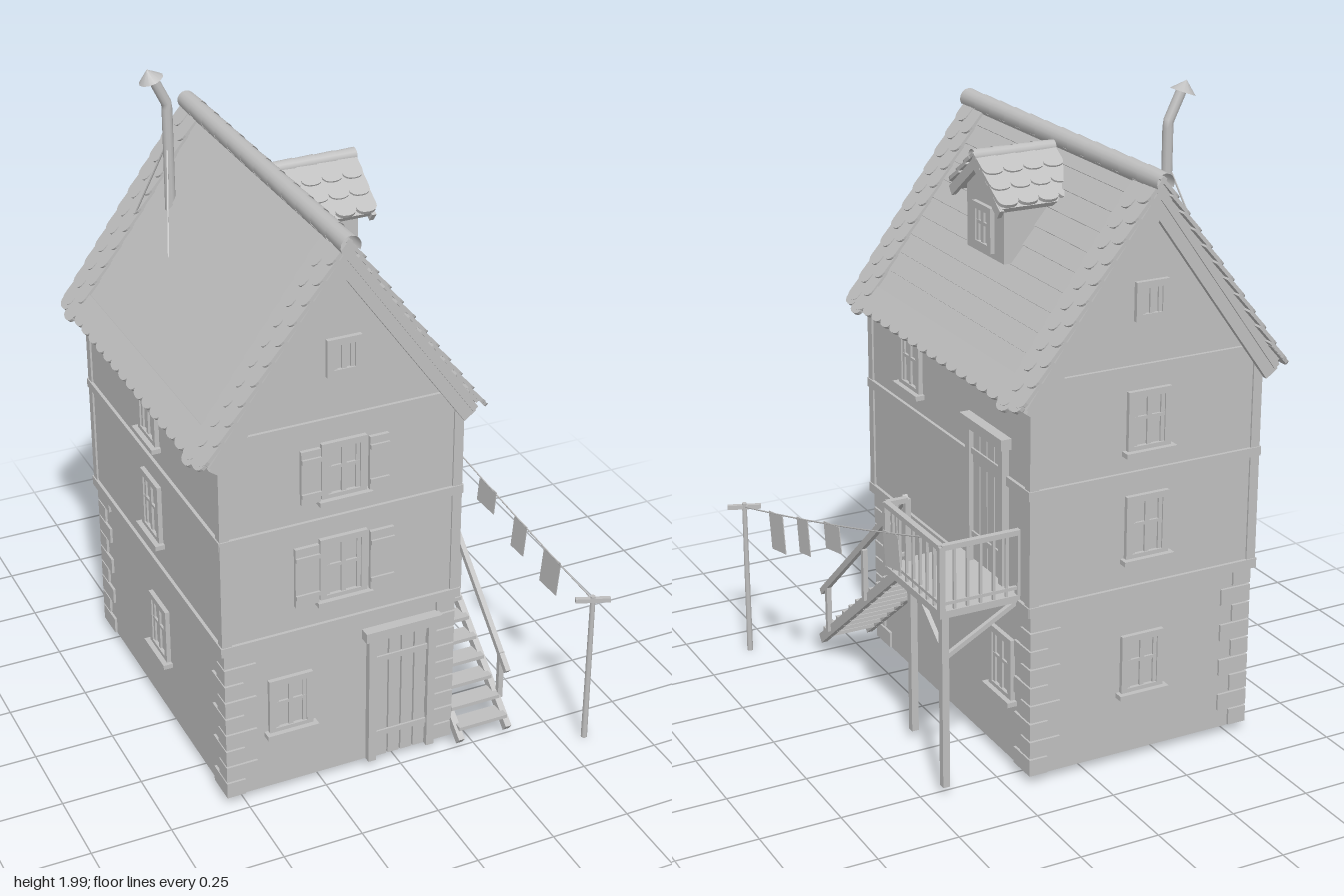
import * as THREE from 'three';

const grey = new THREE.MeshStandardMaterial({ color: 0xbfbfbf, side: THREE.DoubleSide });
grey.name = 'plainGrey';
const PI = Math.PI, CX = -0.185, CZ = -0.06, HW = 0.375, HD = 0.53;

function add(parent, name, geo, x = 0, y = 0, z = 0) {
  const m = new THREE.Mesh(geo, grey);
  m.name = name;
  m.position.set(x, y, z);
  parent.add(m);
  return m;
}
const box = (p, name, w, h, d, x, y, z) => add(p, name, new THREE.BoxGeometry(w, h, d), x, y, z);

function group(parent, name, x = 0, y = 0, z = 0, yaw = 0, roll = 0) {
  const g = new THREE.Group();
  g.name = name;
  g.position.set(x, y, z);
  g.rotation.set(0, yaw, roll);
  parent.add(g);
  return g;
}

// square bar between two points
function bar(parent, name, a, b, w, h = w) {
  const p = new THREE.Vector3(...a), q = new THREE.Vector3(...b);
  const m = new THREE.Mesh(new THREE.BoxGeometry(w, h, p.distanceTo(q)), grey);
  m.name = name;
  m.position.copy(p).lerp(q, 0.5);
  m.lookAt(q);
  parent.add(m);
}

function extrude(points, depth, hole) {
  const s = new THREE.Shape(points.map(p => new THREE.Vector2(...p)));
  if (hole) s.holes.push(new THREE.Path(hole.map(p => new THREE.Vector2(...p))));
  return new THREE.ExtrudeGeometry(s, { depth, bevelEnabled: false });
}
const rect = (w, h) => [[-w, -h], [w, -h], [w, h], [-w, h]];

// round-ended roof tile, running down +x
function tileGeometry(len, w) {
  const s = new THREE.Shape();
  s.moveTo(0, -w / 2);
  s.lineTo(len - w * 0.4, -w / 2);
  s.quadraticCurveTo(len, -w / 2, len, 0);
  s.quadraticCurveTo(len, w / 2, len - w * 0.4, w / 2);
  s.lineTo(0, w / 2);
  return new THREE.ExtrudeGeometry(s, { depth: 0.011, bevelEnabled: false, curveSegments: 4 }).rotateX(-PI / 2);
}
function tile(parent, geo, x, y, z) {
  add(parent, 'roofTile', geo, x, y, z).rotation.z = 0.1;
}

// half-round caps along local z
function ridge(parent, r, length, n) {
  const step = length / n;
  for (let i = 0; i < n; i++) {
    const geo = new THREE.CylinderGeometry(r, r * 0.9, step * 1.08, 10, 1, true, PI / 2 - 0.5, PI + 1);
    add(parent, 'ridgeCap', geo, 0, 0, -length / 2 + (i + 0.5) * step).rotation.x = PI / 2;
  }
}

// window on a wall whose outside is local +z; y is the middle
function windowUnit(wall, x, y, w, h, { shutters = 0, bars = true, sill = true, depth = 0.03, z = 0 } = {}) {
  const g = group(wall, 'window', x, y, z), t = 0.02, zc = 0.014 - depth / 2;
  for (const s of [-1, 1]) {
    box(g, 'frameSide', t, h, depth, s * (w - t) / 2, 0, zc);
    box(g, 'frameRail', w, t, depth, 0, s * (h - t) / 2, zc);
    box(g, 'sashSide', 0.012, h - 2 * t, 0.008, s * (w / 2 - t - 0.006), 0, 0.005);
    if (shutters) {
      const sx = s * (w / 2 + shutters / 2 + 0.006);
      box(g, 'shutter', shutters, h * 0.93, 0.012, sx, 0, 0.014);
      for (const v of [-1, 1]) box(g, 'shutterBatten', shutters, 0.014, 0.008, sx, v * h * 0.3, 0.023);
    }
  }
  box(g, 'pane', w - t, h - t, 0.004, 0, 0, 0.001);
  box(g, 'mullion', 0.014, h - t, 0.01, 0, 0, 0.005);
  if (bars) box(g, 'glazingBar', w - t, 0.01, 0.01, 0, 0.01, 0.005);
  if (sill) box(g, 'sill', w + 0.025, 0.015, 0.04, 0, -h / 2, 0.01);
}

function door(wall, x, y0, w, h, z = 0) {
  const g = group(wall, 'door', x, y0, z);
  for (const s of [-1, 1]) box(g, 'doorPost', 0.025, h, 0.035, s * (w / 2 - 0.012), h / 2, 0.005);
  box(g, 'lintel', w + 0.03, 0.033, 0.05, 0, h + 0.005, 0.008);
  const n = 4, pw = (w - 0.05) / n;
  for (let i = 0; i < n; i++) box(g, 'doorPlank', pw - 0.006, h - 0.01, 0.012, (i - 1.5) * pw, h / 2, 0.004);
  for (const f of [0.2, 0.8]) box(g, 'doorHinge', w - 0.05, 0.018, 0.008, 0, h * f, 0.012);
}

function buildHouse(root) {
  const house = group(root, 'house', CX, 0, CZ);
  const gw = HW - 0.01, gd = HD - 0.01;
  // hollow ground storey and solid upper storeys with gables
  const ring = extrude(rect(gw, gd), 0.525, rect(gw - 0.05, gd - 0.05)).rotateX(-PI / 2);
  add(house, 'groundWalls', ring, 0, 0.025, 0);
  const gable = extrude([[-HW, 0.55], [HW, 0.55], [HW, 1.215], [0, 1.73], [-HW, 1.215]], HD * 2);
  add(house, 'upperWalls', gable, 0, 0, -HD);
  // beams around the storeys and posts at the corners
  for (const [y, h] of [[0.558, 0.03], [0.915, 0.028]]) {
    for (const s of [-1, 1]) {
      box(house, 'floorBeam', HW * 2 + 0.016, h, 0.02, 0, y, s * HD);
      box(house, 'floorBeam', 0.02, h, HD * 2 + 0.016, s * HW, y, 0);
    }
  }
  for (const sz of [-1, 1]) {
    box(house, 'gableBeam', HW * 2, 0.028, 0.02, 0, 1.235, sz * HD);
    for (const sx of [-1, 1]) {
      box(house, 'cornerPost', 0.03, 0.67, 0.03, sx * (HW - 0.009), 0.89, sz * (HD - 0.009));
      // alternating corner stones
      for (let i = 0; i < 9; i++) {
        const a = i % 2 ? 0.1 : 0.06, b = i % 2 ? 0.06 : 0.1;
        box(house, 'cornerStone', a, 0.052, b, sx * (gw + 0.008 - a / 2), 0.054 + i * 0.058, sz * (gd + 0.008 - b / 2));
      }
    }
  }
  const front = group(house, 'frontWall', 0, 0, HD);
  const back = group(house, 'backWall', 0, 0, -HD, PI);
  const side = group(house, 'stairWall', HW, 0, 0, PI / 2);
  const far = group(house, 'farWall', -HW, 0, 0, -PI / 2);
  const low = { depth: 0.085, z: -0.01 };
  windowUnit(front, -0.165, 0.315, 0.14, 0.19, low);
  windowUnit(front, 0, 0.755, 0.15, 0.21, { shutters: 0.075 });
  windowUnit(front, 0, 1.08, 0.14, 0.185, { shutters: 0.06 });
  windowUnit(side, 0.35, 0.32, 0.14, 0.2, low);
  windowUnit(side, -0.225, 1.08, 0.14, 0.185);
  for (const w of [back, far]) {
    windowUnit(w, 0, 0.315, 0.14, 0.19, low);
    windowUnit(w, 0, 0.755, 0.14, 0.2);
    windowUnit(w, 0, 1.08, 0.14, 0.185);
  }
  for (const w of [front, back]) windowUnit(w, 0, 1.435, 0.105, 0.115, { bars: false, sill: false });
  door(front, 0.195, 0.025, 0.22, 0.455, -0.01);
  door(side, 0.285, 0.59, 0.23, 0.435);
}

function buildRoof(root) {
  const roof = group(root, 'roof', CX, 1.785, -0.068);
  const L = 0.745, half = 0.575, a = Math.atan2(0.605, 0.435);
  const small = tileGeometry(0.095, 0.066);
  for (const yaw of [0, PI]) {
    const s = group(roof, 'roofSlope', 0, 0, 0, yaw, -a);
    box(s, 'roofBoard', L - 0.02, 0.02, half * 2 - 0.02, L / 2 - 0.01, -0.022, 0);
    const n = 11, pitch = (L - 0.03) / n;
    for (let i = 0; i < n; i++) {
      box(s, 'roofCourse', pitch + 0.015, 0.011, half * 2 - 0.05, (i + 0.5) * pitch, -0.007, 0).rotation.z = 0.08;
      // scalloped tiles at both ends of every course
      for (const e of [-1, 1]) {
        for (let k = 0; k < 2; k++) tile(s, small, i * pitch - 0.01 + k * 0.03, -0.006, e * (half - 0.032 - k * 0.058));
      }
    }
    for (let k = 0; k < 18; k++) tile(s, small, L - 0.09, -0.006, (k - 8.5) * 0.0635);
    for (const e of [-1, 1]) box(s, 'bargeBoard', L - 0.02, 0.045, 0.018, L / 2, -0.045, e * (half - 0.025));
  }
  ridge(group(roof, 'mainRidge', 0, -0.005, 0), 0.031, 1.165, 12);
}

function buildDormer(root) {
  const d = group(root, 'dormer', 0, 0, -0.085);
  const body = extrude([[-0.115, 1.465], [0.115, 1.465], [0.115, 1.655], [0, 1.735], [-0.115, 1.655]], 0.22);
  add(group(d, 'dormerBody', -0.15, 0, 0, PI / 2), 'dormerWalls', body);
  const face = group(d, 'dormerFace', 0.07, 0, 0, PI / 2);
  windowUnit(face, 0, 1.55, 0.115, 0.135, { sill: false });
  const L = 0.207, a = Math.atan2(0.125, 0.165), t = tileGeometry(0.09, 0.066);
  for (const s of [-1, 1]) {
    const g = group(d, 'dormerSlope', -0.02, 1.768, 0, -s * PI / 2, -a);
    box(g, 'dormerBoard', L - 0.015, 0.018, 0.245, L / 2, -0.015, 0);
    box(g, 'dormerBarge', L, 0.03, 0.014, L / 2, -0.022, -s * 0.12);
    for (let i = 0; i < 3; i++) {
      for (let k = 0; k < 4; k++) tile(g, t, i * 0.058, -0.005, (k - 1.5) * 0.065);
    }
  }
  ridge(group(d, 'dormerRidge', -0.02, 1.762, 0, PI / 2), 0.022, 0.26, 4);
}

function buildChimney(root) {
  const c = group(root, 'chimney', 0, 0, -0.405);
  const path = new THREE.CurvePath();
  const pts = [[-0.342, 1.5], [-0.342, 1.88], [-0.388, 1.975]].map(p => new THREE.Vector3(p[0], p[1], 0));
  path.add(new THREE.LineCurve3(pts[0], pts[1]));
  path.add(new THREE.LineCurve3(pts[1], pts[2]));
  add(c, 'stovePipe', new THREE.TubeGeometry(path, 24, 0.016, 10, false));
  const cap = add(c, 'pipeCap', new THREE.ConeGeometry(0.038, 0.035, 12), -0.394, 1.978, 0);
  cap.rotation.z = 0.35;
  for (const z of [-0.15, 0.17]) bar(c, 'guyWire', [-0.345, 1.76, 0], [-0.415, 1.46, z * 0.95], 0.004);
}

function buildStairs(root) {
  const g = group(root, 'stairsAndPlatform');
  // flight of open steps
  for (const x of [0.195, 0.358]) bar(g, 'stringer', [x, 0.035, 0.52], [x, 0.575, -0.16], 0.02, 0.03);
  const n = 13;
  for (let i = 0; i < n; i++) {
    const f = (i + 0.7) / n;
    box(g, 'tread', 0.165, 0.012, 0.06, 0.277, 0.045 + f * 0.535, 0.52 - f * 0.68);
  }
  bar(g, 'handrail', [0.37, 0.22, 0.485], [0.37, 0.785, -0.155], 0.016, 0.02);
  for (const z of [0.44, 0.15, -0.06]) {
    const y = 0.575 - (z + 0.16) * 0.794;
    bar(g, 'handrailPost', [0.37, y, z], [0.37, y + 0.17, z], 0.016);
  }
  // platform on two legs
  box(g, 'platformDeck', 0.255, 0.022, 0.375, 0.3175, 0.577, -0.342);
  for (const [x, z] of [[0.358, -0.165], [0.427, -0.515]]) box(g, 'platformLeg', 0.022, 0.56, 0.022, x, 0.305, z);
  bar(g, 'platformBrace', [0.42, 0.44, -0.515], [0.2, 0.56, -0.515], 0.014);
  bar(g, 'platformBrace', [0.427, 0.45, -0.515], [0.427, 0.565, -0.36], 0.014);
  // railing round the outer edges
  const corners = [[0.19, -0.522], [0.437, -0.522], [0.437, -0.163], [0.37, -0.163]];
  const counts = [6, 8, 2];
  for (let i = 0; i < 3; i++) {
    const [x0, z0] = corners[i], [x1, z1] = corners[i + 1];
    bar(g, 'topRail', [x0, 0.782, z0], [x1, 0.782, z1], 0.018, 0.016);
    bar(g, 'bottomRail', [x0, 0.61, z0], [x1, 0.61, z1], 0.01);
    for (let k = 0; k <= counts[i]; k++) {
      const f = k / counts[i], end = k === 0 || k === counts[i];
      box(g, 'baluster', end ? 0.018 : 0.008, 0.2, end ? 0.018 : 0.008, x0 + (x1 - x0) * f, 0.685, z0 + (z1 - z0) * f);
    }
  }
}

function buildClothesline(root) {
  const g = group(root, 'clothesline');
  add(g, 'linePole', new THREE.CylinderGeometry(0.008, 0.01, 0.52, 8), 0.577, 0.26, 0.618);
  bar(g, 'lineCrossbar', [0.527, 0.507, 0.6], [0.627, 0.507, 0.638], 0.014);
  const rope = new THREE.QuadraticBezierCurve3(
    new THREE.Vector3(0.437, 0.775, -0.42), new THREE.Vector3(0.507, 0.62, 0.1), new THREE.Vector3(0.577, 0.507, 0.618));
  add(g, 'rope', new THREE.TubeGeometry(rope, 20, 0.0025, 5, false));
  // cloths hung at fractions along the rope
  for (const [t, w, h] of [[0.165, 0.08, 0.11], [0.48, 0.09, 0.085], [0.645, 0.065, 0.115], [0.8, 0.085, 0.125]]) {
    const p = rope.getPoint(t);
    const c = box(g, 'cloth', w, h, 0.003, p.x, p.y - h / 2, p.z);
    c.rotation.set(0, PI / 2 + 0.13, 0.12);
  }
}

export function createModel() {
  const root = new THREE.Group();
  root.name = 'timberHouse';
  for (const build of [buildHouse, buildRoof, buildDormer, buildChimney, buildStairs, buildClothesline]) build(root);
  return root;
}
